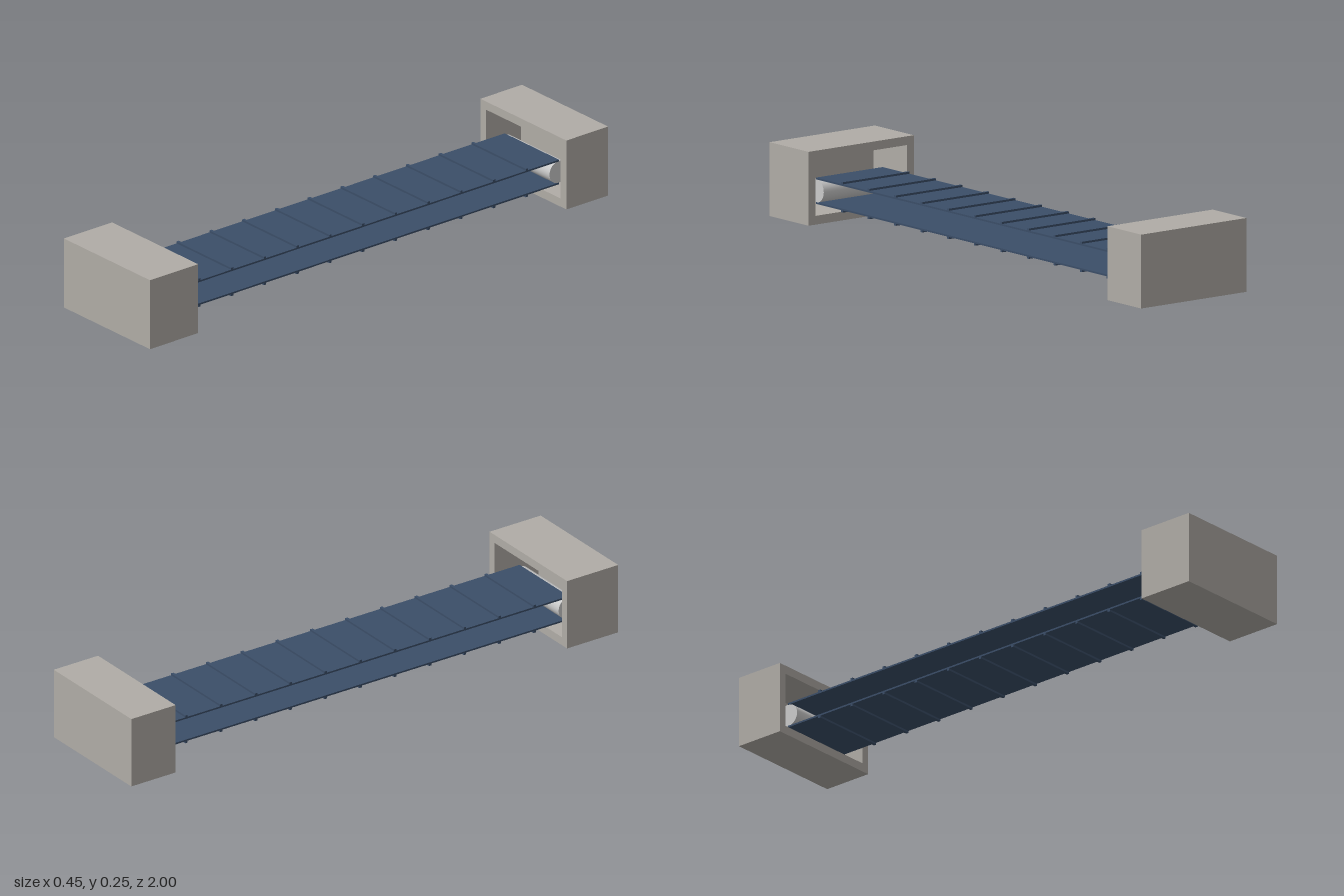
import * as THREE from 'three';

const HOUSING = new THREE.MeshStandardMaterial({ color: 0xb0aca6 });
const BELT = new THREE.MeshStandardMaterial({ color: 0x3b4e68 });
const ROLLER = new THREE.MeshStandardMaterial({ color: 0xcccccc });

const MID_Y = 0.099;      // height of the roller axis
const ROLLER_Z = 0.855;   // distance of each roller from the middle
const WIDTH = 0.286;

export function createModel() {
  const model = new THREE.Group();
  model.name = 'conveyor';

  function add(parent, name, geometry, material, x, y, z) {
    const mesh = new THREE.Mesh(geometry, material);
    mesh.name = name;
    mesh.position.set(x, y, z);
    parent.add(mesh);
    return mesh;
  }
  const box = (w, h, d) => new THREE.BoxGeometry(w, h, d);

  // End housing: a box open towards the middle of the conveyor
  function addHousing(name, side, depth) {
    const group = new THREE.Group();
    group.name = name;
    const w = 0.452, h = 0.253, t = 0.03;
    const shape = new THREE.Shape([[-w / 2, 0], [w / 2, 0], [w / 2, h], [-w / 2, h]]
      .map(([x, y]) => new THREE.Vector2(x, y)));
    const a = w / 2 - t;
    shape.holes.push(new THREE.Path([[-a, t], [-a, h - t], [a, h - t], [a, t]]
      .map(([x, y]) => new THREE.Vector2(x, y))));
    const frame = new THREE.ExtrudeGeometry(shape, { depth: depth - t, bevelEnabled: false });
    add(group, 'housingWalls', frame, HOUSING, 0, 0, side > 0 ? 1 - depth : -1 + t);
    add(group, 'housingEnd', box(w, h, t), HOUSING, 0, h / 2, side * (1 - t / 2));
    model.add(group);
  }
  addHousing('frontHousing', 1, 0.21);
  addHousing('backHousing', -1, 0.182);

  // Rollers inside the housings
  for (const side of [1, -1]) {
    const roller = add(model, side > 0 ? 'frontRoller' : 'backRoller',
      new THREE.CylinderGeometry(0.04, 0.04, WIDTH - 0.004, 32), ROLLER, 0, MID_Y, side * ROLLER_Z);
    roller.rotation.z = Math.PI / 2;
  }

  // Upper and lower belt runs, each with evenly spaced cross cleats
  for (const side of [1, -1]) {
    const run = new THREE.Group();
    run.name = side > 0 ? 'upperBelt' : 'lowerBelt';
    add(run, 'belt', box(WIDTH, 0.006, ROLLER_Z * 2), BELT, 0, MID_Y + side * 0.042, 0);
    for (let i = -5; i <= 5; i++) {
      add(run, 'cleat', box(WIDTH, 0.008, 0.01), BELT, 0, MID_Y + side * 0.048, i * 0.143);
    }
    model.add(run);
  }

  return model;
}
